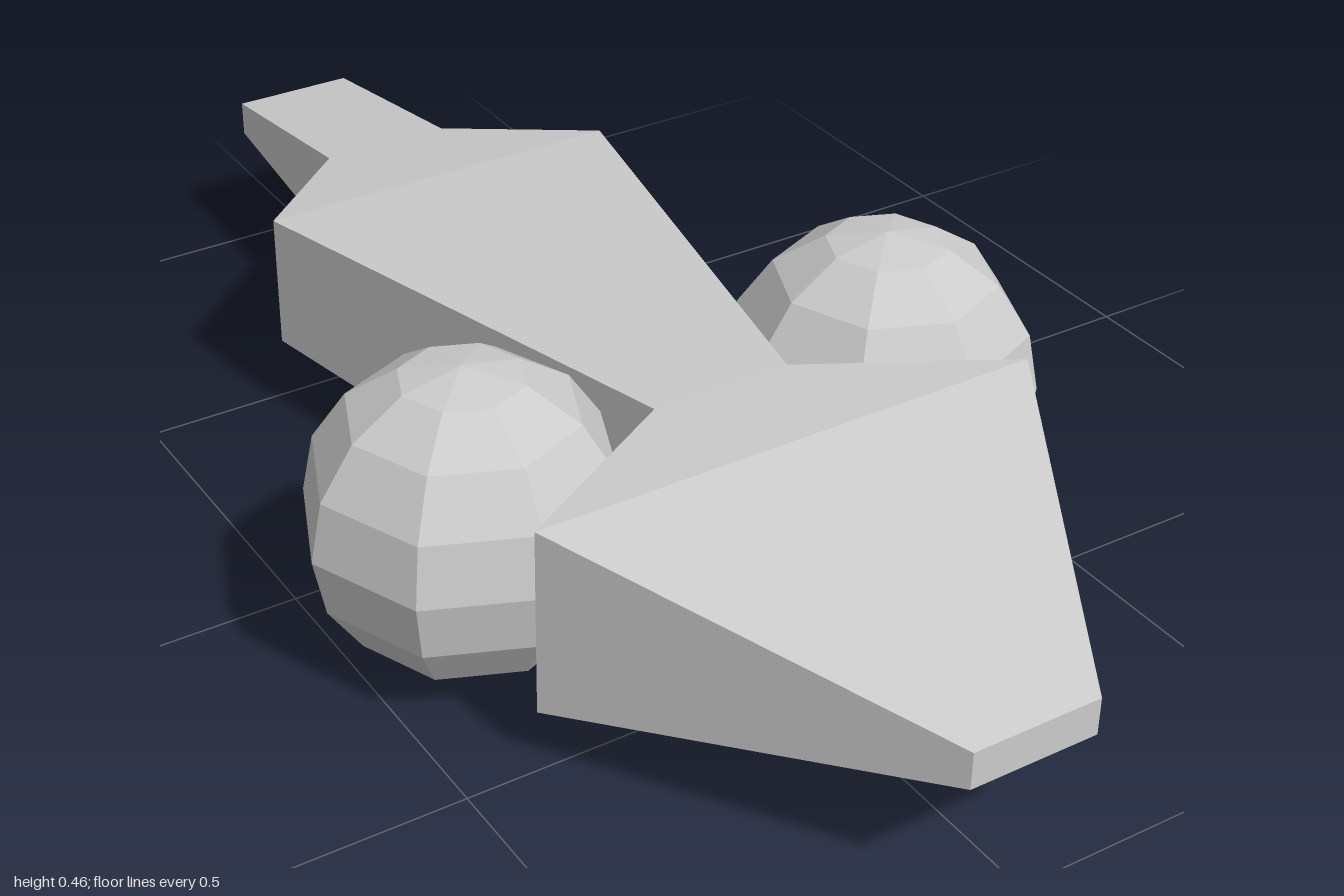
import * as THREE from 'three';

const MID_Y = 0.23;

// Rectangular cross-sections from nose to tail: z, half width, half height
const SECTIONS = [
  [1.0, 0.097, 0.028],
  [0.49, 0.389, 0.142],
  [0.323, 0.107, 0.136],
  [-0.462, 0.29, 0.106],
  [-0.652, 0.102, 0.078],
  [-1.0, 0.097, 0.028],
];

// Joins the rectangular sections into a closed hull
function loftHull(sections) {
  const positions = [];
  const index = [];
  for (const [z, w, h] of sections) {
    positions.push(w, h, z, -w, h, z, -w, -h, z, w, -h, z);
  }
  for (let s = 0; s < sections.length - 1; s++) {
    for (let k = 0; k < 4; k++) {
      const a = s * 4 + k;
      const b = s * 4 + ((k + 1) % 4);
      index.push(a, a + 4, b + 4, a, b + 4, b);
    }
  }
  const e = (sections.length - 1) * 4;
  index.push(0, 1, 2, 0, 2, 3); // nose cap
  index.push(e, e + 2, e + 1, e, e + 3, e + 2); // tail cap

  const indexed = new THREE.BufferGeometry();
  indexed.setAttribute('position', new THREE.Float32BufferAttribute(positions, 3));
  indexed.setIndex(index);
  const geometry = indexed.toNonIndexed();
  geometry.computeVertexNormals();
  return geometry;
}

export function createModel() {
  const group = new THREE.Group();
  const material = new THREE.MeshStandardMaterial({ color: 0xcccccc, flatShading: true });

  // Faceted central hull
  const hull = new THREE.Mesh(loftHull(SECTIONS), material);
  hull.name = 'hull';
  hull.position.y = MID_Y;
  group.add(hull);

  // Low-poly spheres on both sides of the waist
  const sphere = new THREE.SphereGeometry(0.229, 8, 8);
  for (const side of [1, -1]) {
    const pod = new THREE.Mesh(sphere, material);
    pod.name = side > 0 ? 'leftSphere' : 'rightSphere';
    pod.position.set(side * 0.343, MID_Y, 0.226);
    group.add(pod);
  }

  return group;
}
